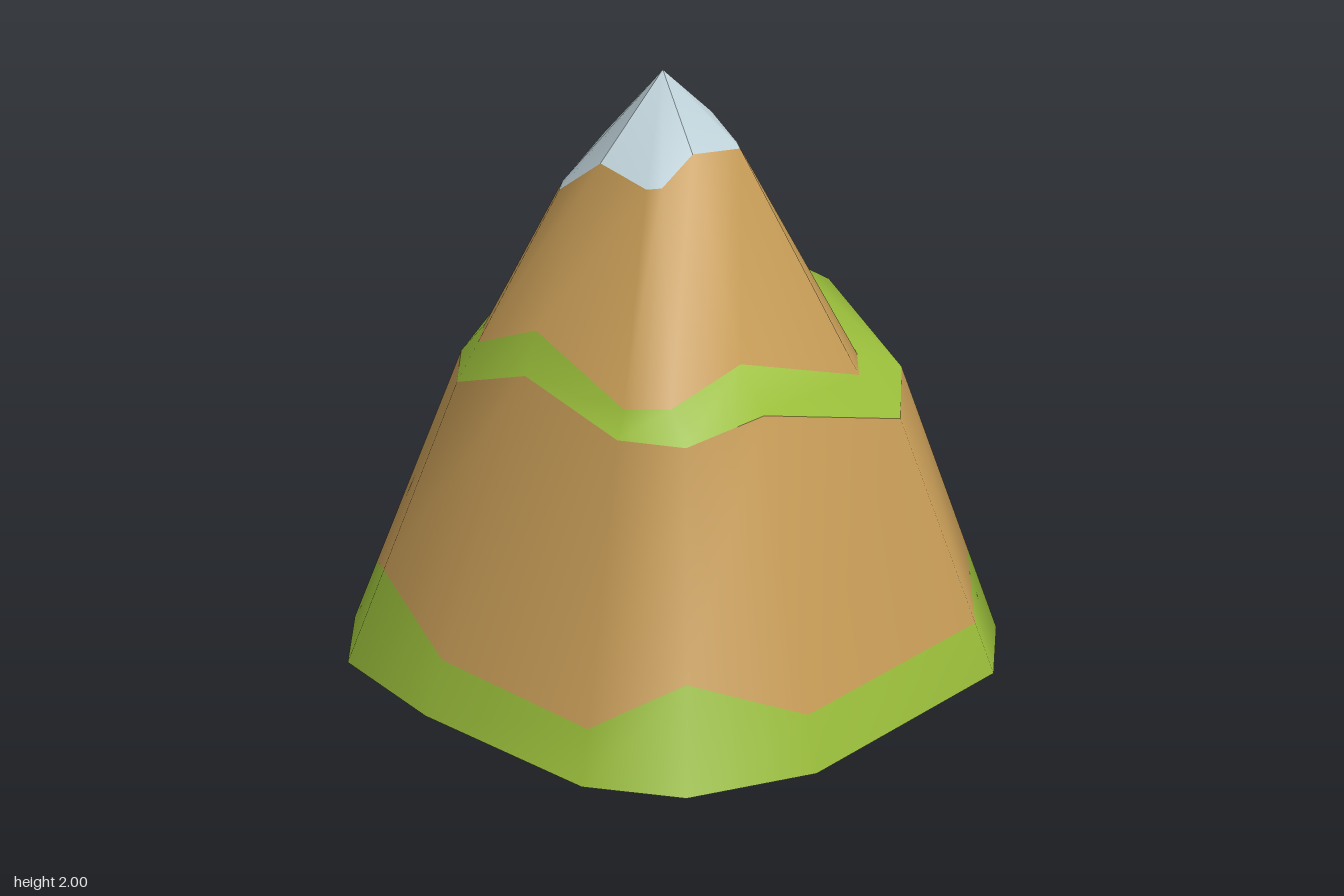
import * as THREE from 'three';

const N = 12;

// Cross-sections, each a loop of [x, y, z] corners in the same order
const base = [
  [-0.62, 0, -0.76], [-0.02, 0, -0.87], [0.47, 0, -0.9], [0.73, 0, -0.68],
  [0.96, 0, 0.21], [0.85, 0, 0.64], [0.58, 0, 0.84], [-0.13, 0, 0.89],
  [-0.59, 0, 0.83], [-0.84, 0, 0.6], [-0.97, 0, 0.06], [-0.95, 0, -0.4],
];
const ledgeOuter = [
  [-0.48, 0.89, -0.52], [-0.01, 1.1, -0.62], [0.3, 0.9, -0.66], [0.53, 0.86, -0.47],
  [0.65, 1.1, 0.17], [0.55, 1.02, 0.4], [0.37, 1.02, 0.53], [-0.06, 1.09, 0.55],
  [-0.41, 0.94, 0.54], [-0.55, 0.96, 0.41], [-0.61, 1.17, 0.05], [-0.64, 0.93, -0.28],
];
const ledgeInner = [
  [-0.4, 1.01, -0.37], [0, 1.22, -0.45], [0.29, 0.99, -0.49], [0.4, 0.98, -0.41],
  [0.51, 1.22, 0.15], [0.45, 1.11, 0.38], [0.34, 1.1, 0.48], [-0.08, 1.22, 0.49],
  [-0.38, 1.07, 0.48], [-0.47, 1.07, 0.38], [-0.53, 1.22, 0.04], [-0.51, 0.99, -0.23],
];
const snowLine = [
  [-0.26, 1.6, -0.175], [-0.025, 1.8, -0.165], [0.1, 1.74, -0.165], [0.135, 1.735, -0.15],
  [0.185, 1.8, 0.08], [0.17, 1.71, 0.19], [0.13, 1.7, 0.22], [-0.06, 1.73, 0.25],
  [-0.24, 1.58, 0.27], [-0.285, 1.58, 0.22], [-0.3, 1.69, 0.04], [-0.3, 1.61, -0.14],
];
const apex = [-0.025, 2, 0.03];

// Height of the grass around the foot, laid onto the lower slope
const grassHeight = [0.25, 0.17, 0.28, 0.17, 0.18, 0.33, 0.17, 0.18, 0.31, 0.2, 0.19, 0.22];
const grassLine = base.map((p, i) => {
  const q = ledgeOuter[i];
  const f = grassHeight[i] / q[1];
  return p.map((v, k) => v + (q[k] - v) * f);
});

// Joins closed loops from bottom to top; each band is its own geometry group
function loft(loops) {
  const geometry = new THREE.BufferGeometry();
  geometry.setAttribute('position', new THREE.Float32BufferAttribute(loops.flat(2), 3));
  const index = [];
  for (let r = 0; r < loops.length - 1; r++) {
    for (let i = 0; i < N; i++) {
      const j = (i + 1) % N;
      const a = r * N + i, b = r * N + j, c = a + N, d = b + N;
      index.push(a, c, b, c, d, b);
    }
    geometry.addGroup(r * N * 6, N * 6, r);
  }
  geometry.setIndex(index);
  geometry.computeVertexNormals();
  return geometry;
}

// One quarter of the snow cap: a smooth fan of three triangles
function snowFan(start) {
  const geometry = new THREE.BufferGeometry();
  const rim = [0, 1, 2, 3].map((k) => snowLine[(start + k) % N]);
  geometry.setAttribute('position', new THREE.Float32BufferAttribute([apex, ...rim].flat(), 3));
  geometry.setIndex([0, 2, 1, 0, 3, 2, 0, 4, 3]);
  geometry.computeVertexNormals();
  return geometry;
}

function material(name, color) {
  const m = new THREE.MeshStandardMaterial({ color, side: THREE.DoubleSide });
  m.name = name;
  return m;
}

export function createModel() {
  const rock = material('rock', 0xc99e58);
  const grass = material('grass', 0x9bbf3b);
  const snow = material('snow', 0xc3d7de);

  const group = new THREE.Group();
  group.name = 'mountain';
  const add = (name, geometry, mat, parent = group) => {
    const mesh = new THREE.Mesh(geometry, mat);
    mesh.name = name;
    parent.add(mesh);
  };

  // Lower slope with its grassy foot, open underneath
  add('lowerSlope', loft([base, grassLine, ledgeOuter]), [grass, rock]);
  // Grassy ledge and upper slope
  add('grassLedge', loft([ledgeOuter, ledgeInner]), [grass]);
  add('upperSlope', loft([ledgeInner, snowLine]), [rock]);

  // Snow cap, creased along four ridges
  const cap = new THREE.Group();
  cap.name = 'snowCap';
  for (let q = 0; q < 4; q++) add('snowFace', snowFan(1 + q * 3), snow, cap);
  group.add(cap);

  return group;
}
